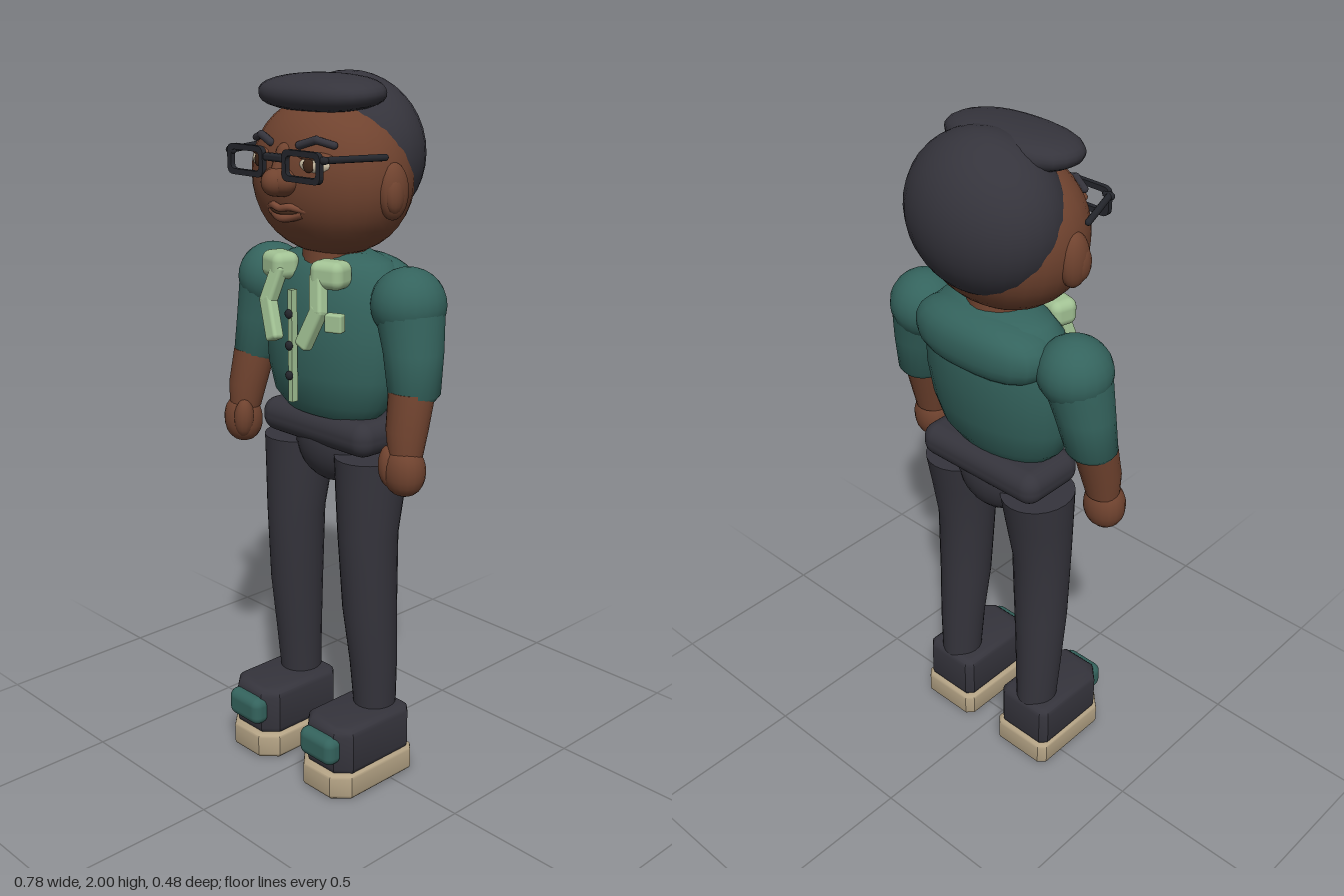
import * as THREE from 'three';
import { toCreasedNormals, mergeVertices } from 'three/addons/utils/BufferGeometryUtils.js';
import { RoundedBoxGeometry } from 'three/addons/geometries/RoundedBoxGeometry.js';

const mat = (name, color) => {
  const m = new THREE.MeshStandardMaterial({ color });
  m.name = name;
  return m;
};

export function createModel() {
  const model = new THREE.Group();
  model.name = 'standingMan';
  const skin = mat('skin brown', 0x70432f);
  const lip = mat('lip brown', 0x7c4a36);
  const dark = mat('charcoal', 0x35343c);
  const black = mat('frame black', 0x24262c);
  const teal = mat('shirt teal', 0x34635d);
  const green = mat('pale green', 0xa2c294);
  const tan = mat('sole tan', 0xb3a284);
  const eyeWhite = mat('eye cream', 0xcfc2a8);
  const iris = mat('iris brown', 0x3f2618);

  const add = (name, geo, material, x = 0, y = 0, z = 0, rx = 0, ry = 0, rz = 0) => {
    const m = new THREE.Mesh(geo, material);
    m.name = name;
    m.position.set(x, y, z);
    m.rotation.set(rx, ry, rz);
    model.add(m);
    return m;
  };

  // Ellipsoid; a power above 2 makes it boxier
  const blob = (rx, ry, rz, power = 2, w = 24, h = 16) => {
    let g = new THREE.SphereGeometry(1, w, h);
    const p = g.attributes.position;
    for (let i = 0; i < p.count; i++) {
      const v = new THREE.Vector3().fromBufferAttribute(p, i);
      const n = Math.pow(Math.abs(v.x) ** power + Math.abs(v.y) ** power + Math.abs(v.z) ** power, 1 / power);
      p.setXYZ(i, v.x / n * rx, v.y / n * ry, v.z / n * rz);
    }
    g.deleteAttribute('uv');
    g.deleteAttribute('normal');
    g = mergeVertices(g, 1e-5);
    g.computeVertexNormals();
    return g;
  };

  // Skin over elliptical rings [y, rx, rz, cx, cz] from bottom to top, capped
  const loft = (rings, sides = 20) => {
    const all = [[rings[0][0], 0, 0, ...rings[0].slice(3)], ...rings];
    const top = rings[rings.length - 1];
    all.push([top[0], 0, 0, ...top.slice(3)]);
    const pos = [], idx = [];
    for (const [y, rx, rz, cx, cz] of all)
      for (let j = 0; j < sides; j++) {
        const a = (j / sides) * Math.PI * 2;
        pos.push(cx + rx * Math.cos(a), y, cz + rz * Math.sin(a));
      }
    for (let i = 0; i < all.length - 1; i++)
      for (let j = 0; j < sides; j++) {
        const a = i * sides + j, b = i * sides + (j + 1) % sides;
        if (i > 0) idx.push(a, a + sides, b);
        if (i < all.length - 2) idx.push(b, a + sides, b + sides);
      }
    // First strip is the bottom fan, seen from below
    for (let j = 0; j < sides; j++) idx.push(j, sides + j, sides + (j + 1) % sides);
    const g = new THREE.BufferGeometry();
    g.setAttribute('position', new THREE.Float32BufferAttribute(pos, 3));
    g.setIndex(idx);
    return toCreasedNormals(g, 0.8);
  };

  const tube = (pts, r, seg = 10) => new THREE.TubeGeometry(
    new THREE.CatmullRomCurve3(pts.map(p => new THREE.Vector3(...p))), seg, r, 8);

  // Capsule between two points
  const rod = (name, a, b, r, material) => {
    const A = new THREE.Vector3(...a), B = new THREE.Vector3(...b), d = B.clone().sub(A);
    const m = add(name, new THREE.CapsuleGeometry(r, d.length(), 4, 10), material);
    m.position.copy(A).add(B).multiplyScalar(0.5);
    m.quaternion.setFromUnitVectors(new THREE.Vector3(0, 1, 0), d.normalize());
    return m;
  };

  const roundRect = (target, w, h, r) => {
    const x = w / 2, y = h / 2;
    target.moveTo(-x + r, -y).lineTo(x - r, -y).quadraticCurveTo(x, -y, x, -y + r)
      .lineTo(x, y - r).quadraticCurveTo(x, y, x - r, y).lineTo(-x + r, y)
      .quadraticCurveTo(-x, y, -x, y - r).lineTo(-x, -y + r).quadraticCurveTo(-x, -y, -x + r, -y);
    return target;
  };

  // Head, hair and neck
  add('head', blob(0.242, 0.212, 0.187, 2.1, 28, 20), skin, 0, 1.73, 0);
  add('neck', new THREE.CylinderGeometry(0.085, 0.095, 0.12, 20), skin, 0, 1.51, -0.01);
  add('backHair', blob(0.227, 0.212, 0.18, 2, 28, 20), dark, 0, 1.786, -0.063);
  add('frontHair', blob(0.2, 0.048, 0.115, 2.4), dark, 0, 1.945, 0.04, 0.06);

  // Nose and mouth
  add('nose', blob(0.058, 0.04, 0.043), skin, 0, 1.728, 0.185);
  add('noseTip', blob(0.036, 0.036, 0.036), skin, 0, 1.727, 0.204);
  rod('noseBridge', [0, 1.80, 0.165], [0, 1.74, 0.19], 0.026, skin);
  add('upperLip', tube([[-0.07, 1.655, 0.158], [-0.03, 1.664, 0.181], [0, 1.659, 0.186], [0.03, 1.664, 0.181], [0.07, 1.655, 0.158]], 0.01, 16), lip);
  add('lowerLip', tube([[-0.06, 1.648, 0.16], [0, 1.634, 0.178], [0.06, 1.648, 0.16]], 0.013, 14), lip);
  add('mouthLine', tube([[-0.062, 1.652, 0.166], [0, 1.648, 0.187], [0.062, 1.652, 0.166]], 0.005, 14), iris);

  // Torso, upper back and waist
  add('shirt', loft([
    [1.08, 0.165, 0.085, 0, 0], [1.12, 0.205, 0.112, 0, 0], [1.2, 0.23, 0.132, 0, -0.005],
    [1.3, 0.24, 0.143, 0, -0.012], [1.4, 0.235, 0.14, 0, -0.02], [1.47, 0.215, 0.125, 0, -0.025],
    [1.51, 0.175, 0.1, 0, -0.025], [1.53, 0.11, 0.07, 0, -0.025]], 28), teal);
  add('backYoke', blob(0.22, 0.09, 0.105, 2.5), teal, 0, 1.435, -0.07);
  add('waistband', new RoundedBoxGeometry(0.43, 0.1, 0.215, 4, 0.045), dark, 0, 1.038, -0.015);
  add('pelvis', blob(0.13, 0.13, 0.1), dark, 0, 0.995, -0.015);

  // Shirt front
  add('placket', new THREE.BoxGeometry(0.016, 0.31, 0.02), green, 0, 1.285, 0.147);
  for (const y of [1.375, 1.288, 1.205])
    add('button', blob(0.013, 0.013, 0.009, 2, 12, 8), black, 0, y, 0.161);
  add('pocket', new RoundedBoxGeometry(0.05, 0.05, 0.03, 2, 0.006), green, 0.138, 1.367, 0.122, 0, 0.35);

  for (const s of [-1, 1]) {
    // Face
    add('ear', blob(0.034, 0.074, 0.046, 2, 16, 12), skin, s * 0.232, 1.708, 0.006);
    add('innerEar', blob(0.022, 0.048, 0.03, 2, 14, 10), skin, s * 0.247, 1.7, 0.016);
    add('eye', blob(0.047, 0.023, 0.022, 2, 16, 10), eyeWhite, s * 0.102, 1.775, 0.155, 0, s * 0.3);
    add('iris', blob(0.017, 0.018, 0.006, 2, 14, 8), iris, s * 0.098, 1.775, 0.176, 0, s * 0.3);
    add('upperLid', blob(0.052, 0.012, 0.026, 2, 16, 8), skin, s * 0.102, 1.796, 0.153, 0, s * 0.3);
    rod('eyebrow', [s * 0.055, 1.822, 0.167], [s * 0.105, 1.838, 0.156], 0.011, dark);
    rod('eyebrow', [s * 0.105, 1.838, 0.156], [s * 0.15, 1.826, 0.136], 0.01, dark);

    // Glasses
    const rim = roundRect(new THREE.Shape(), 0.142, 0.08, 0.022);
    rim.holes.push(roundRect(new THREE.Path(), 0.112, 0.05, 0.014));
    add('glassesRim', new THREE.ExtrudeGeometry(rim, { depth: 0.014, bevelEnabled: false, curveSegments: 5 }),
      black, s * 0.108, 1.775, 0.199);
    rod('glassesHinge', [s * 0.165, 1.796, 0.204], [s * 0.185, 1.796, 0.2], 0.01, black);
    rod('glassesArm', [s * 0.18, 1.796, 0.198], [s * 0.24, 1.797, 0.045], 0.009, black);

    // Collar and hanging lapel
    add('collar', new RoundedBoxGeometry(0.1, 0.075, 0.08, 3, 0.025), green, s * 0.1, 1.488, 0.1, 0, s * 0.25);
    const L = [[s * 0.078, 1.48, 0.125], [s * 0.1, 1.395, 0.145], [s * 0.06, 1.305, 0.16]];
    for (let i = 0; i < 2; i++) {
      const a = new THREE.Vector3(...L[i]), d = new THREE.Vector3(...L[i + 1]).sub(a);
      const m = add('lapel', new RoundedBoxGeometry(0.045, d.length() + 0.025, 0.036, 2, 0.01), green);
      m.position.copy(a).addScaledVector(d, 0.5);
      m.quaternion.setFromUnitVectors(new THREE.Vector3(0, -1, 0), d.normalize());
    }

    // Arm
    add('shoulder', blob(0.103, 0.098, 0.1, 2, 20, 14), teal, s * 0.268, 1.417, -0.02);
    add('sleeve', loft([
      [1.175, 0.06, 0.06, s * 0.315, 0.005], [1.19, 0.071, 0.07, s * 0.315, 0.003],
      [1.3, 0.083, 0.08, s * 0.297, -0.01], [1.42, 0.097, 0.095, s * 0.27, -0.02]]), teal);
    add('forearm', loft([
      [1.03, 0.048, 0.045, s * 0.327, 0.045], [1.1, 0.058, 0.056, s * 0.323, 0.036],
      [1.2, 0.064, 0.062, s * 0.316, 0.012]]), skin);
    add('hand', blob(0.06, 0.07, 0.052, 2.2, 18, 12), skin, s * 0.33, 0.99, 0.052);
    add('thumb', blob(0.03, 0.058, 0.03, 2, 14, 10), skin, s * 0.298, 1.0, 0.076, 0, 0, s * 0.08);

    // Leg
    add('trouserLeg', loft([
      [0.19, 0.06, 0.062, s * 0.16, -0.02], [0.35, 0.068, 0.07, s * 0.16, -0.012],
      [0.52, 0.077, 0.08, s * 0.155, 0], [0.75, 0.085, 0.087, s * 0.15, 0.005],
      [0.88, 0.096, 0.1, s * 0.147, -0.006], [0.975, 0.1, 0.112, s * 0.146, -0.014]], 24), dark);

    // Shoe: corner-cut outline, sole and tapered upper
    const outline = (w, back, front, c) => {
      const o = new THREE.Shape(), h = w / 2;
      return o.moveTo(-h, -front + c).lineTo(-h + c, -front).lineTo(h - c, -front).lineTo(h, -front + c)
        .lineTo(h, back - 0.02).lineTo(h - 0.02, back).lineTo(-h + 0.02, back).lineTo(-h, back - 0.02).closePath();
    };
    const slab = (shape, depth, b) => {
      const g = new THREE.ExtrudeGeometry(shape, { depth: depth - 2 * b, bevelSize: b, bevelThickness: b, bevelOffset: -b, bevelSegments: 3 });
      g.translate(0, 0, b).rotateX(-Math.PI / 2);
      return toCreasedNormals(g, 0.7);
    };
    add('sole', slab(outline(0.2, 0.095, 0.21, 0.045), 0.08, 0.014), tan, s * 0.155);
    add('shoeUpper', slab(outline(0.186, 0.085, 0.195, 0.04), 0.15, 0.025), dark, s * 0.157, 0.068);
    add('toePatch', new RoundedBoxGeometry(0.135, 0.085, 0.06, 3, 0.026), teal, s * 0.157, 0.152, 0.196);
  }
  add('glassesBridge', new RoundedBoxGeometry(0.075, 0.02, 0.026, 2, 0.007), black, 0, 1.79, 0.201);
  return model;
}
